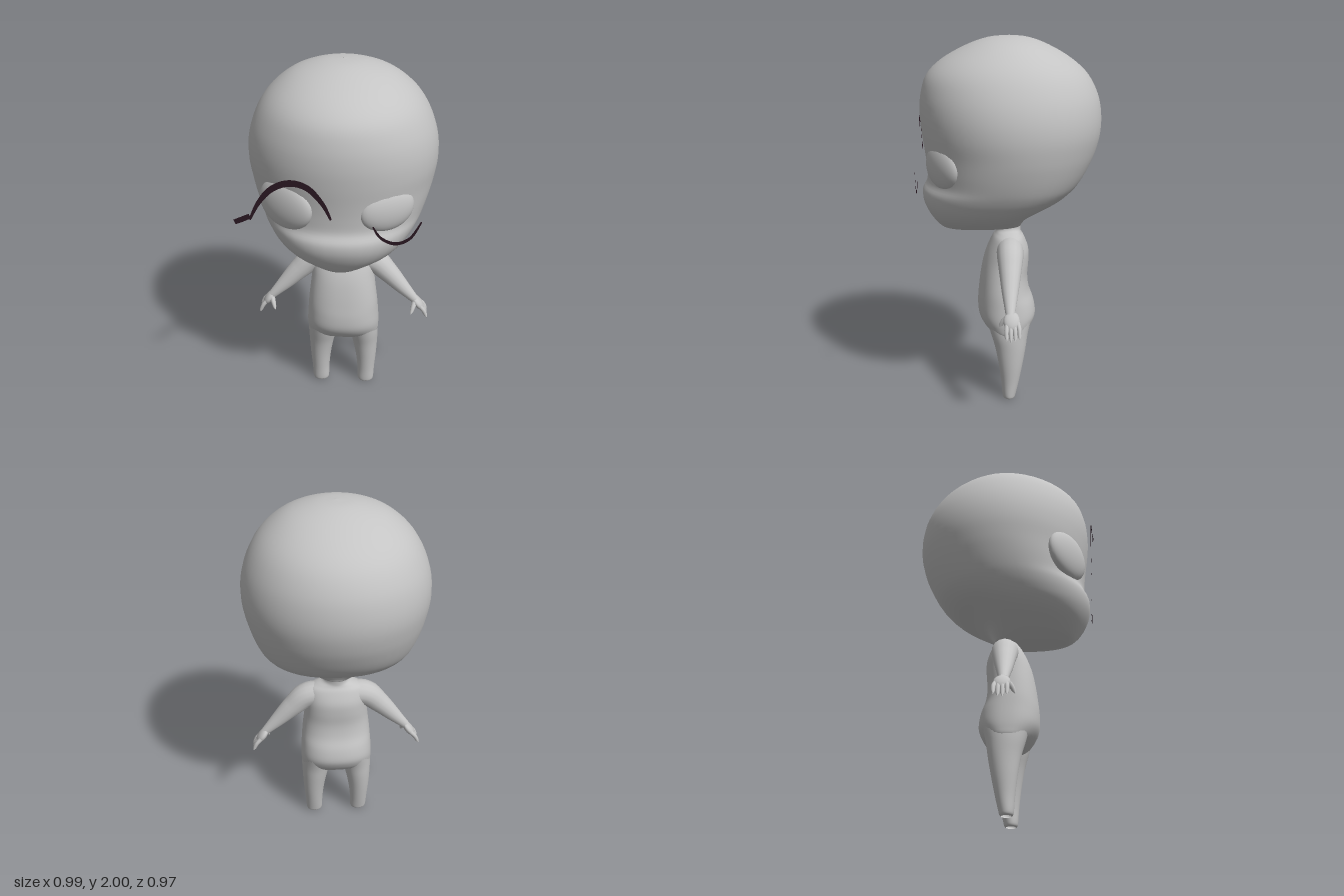
import * as THREE from 'three';

const clay = new THREE.MeshStandardMaterial({ color: 0xc4c4c4, side: THREE.DoubleSide });
clay.name = 'clay grey';
const ink = new THREE.MeshStandardMaterial({ color: 0x2a1822, side: THREE.DoubleSide });
ink.name = 'lash dark';

function add(parent, name, geometry, material = clay) {
  const mesh = new THREE.Mesh(geometry, material);
  mesh.name = name;
  parent.add(mesh);
  return mesh;
}

// Smooth loft of rounded sections, listed from the top down:
// [y, half width, front z, back z, z of the widest point, squareness, centre x]
function loft(rows, steps = 4, sides = 48) {
  const spline = (f) => new THREE.CatmullRomCurve3(rows.map(f), false, 'catmullrom', 0.5);
  const edge = spline((r) => new THREE.Vector3(r[1], r[0], r[2]));
  const rear = spline((r) => new THREE.Vector3(r[4], r[6] ?? 0, r[3]));
  const shape = spline((r) => new THREE.Vector3(r[5] ?? 2, 0, 0));
  const n = (rows.length - 1) * steps;
  const pos = [], index = [];
  for (let i = 0; i <= n; i++) {
    const p = edge.getPoint(i / n), q = rear.getPoint(i / n), e = 2 / shape.getPoint(i / n).x;
    const bend = (v) => Math.sign(v) * Math.abs(v) ** e;
    for (let j = 0; j < sides; j++) {
      const t = (j / sides) * Math.PI * 2, s = bend(Math.sin(t));
      pos.push(q.y + p.x * bend(Math.cos(t)), p.y, q.x + s * (s > 0 ? p.z - q.x : q.x - q.z));
      if (i < n) {
        const k = i * sides + j, m = i * sides + ((j + 1) % sides);
        index.push(k, m, k + sides, m, m + sides, k + sides);
      }
    }
  }
  const g = new THREE.BufferGeometry();
  g.setAttribute('position', new THREE.Float32BufferAttribute(pos, 3));
  g.setIndex(index);
  g.computeVertexNormals();
  return g;
}

// Tube along a path whose radius follows a list of values
function limb(points, radii, segments = 24, sides = 16) {
  const curve = new THREE.CatmullRomCurve3(points.map((p) => new THREE.Vector3(...p)));
  const g = new THREE.TubeGeometry(curve, segments, 1, sides);
  const pos = g.attributes.position, v = new THREE.Vector3();
  for (let i = 0; i < pos.count; i++) {
    const t = Math.floor(i / (sides + 1)) / segments, c = curve.getPointAt(t);
    const f = t * (radii.length - 1), k = Math.min(Math.floor(f), radii.length - 2);
    const r = THREE.MathUtils.lerp(radii[k], radii[k + 1], f - k);
    v.fromBufferAttribute(pos, i).sub(c).multiplyScalar(r).add(c);
    pos.setXYZ(i, v.x, v.y, v.z);
  }
  return g;
}

// Flat tapered stroke in the xy plane
function stroke(points, middle, end) {
  const curve = new THREE.SplineCurve(points.map((p) => new THREE.Vector2(...p)));
  const upper = [], lower = [], n = 32;
  for (let i = 0; i <= n; i++) {
    const t = i / n, p = curve.getPoint(t), d = curve.getTangent(t);
    const w = (end + (middle - end) * Math.sin(t * Math.PI)) / 2;
    upper.push(new THREE.Vector2(p.x - d.y * w, p.y + d.x * w));
    lower.unshift(new THREE.Vector2(p.x + d.y * w, p.y - d.x * w));
  }
  return new THREE.ShapeGeometry(new THREE.Shape([...upper, ...lower]));
}

export function createModel() {
  const model = new THREE.Group();
  model.name = 'figure';

  // Large head with a small mouth ridge, broad jaw and receding nape
  add(model, 'head', loft([
    [2.0, 0.002, 0.002, -0.002, 0],
    [1.99, 0.115, 0.11, -0.1, 0],
    [1.95, 0.24, 0.227, -0.21, 0],
    [1.88, 0.34, 0.355, -0.33, 0],
    [1.8, 0.41, 0.435, -0.415, 0],
    [1.7, 0.46, 0.467, -0.467, 0],
    [1.6, 0.486, 0.474, -0.487, 0],
    [1.5, 0.49, 0.466, -0.485, 0],
    [1.4, 0.475, 0.452, -0.46, 0.0],
    [1.32, 0.455, 0.443, -0.425, 0.01, 2.05],
    [1.25, 0.432, 0.442, -0.385, 0.02, 2.1],
    [1.2, 0.41, 0.466, -0.343, 0.03, 2.15],
    [1.15, 0.38, 0.466, -0.28, 0.05, 2.2],
    [1.1, 0.338, 0.449, -0.185, 0.08, 2.25],
    [1.05, 0.27, 0.42, -0.108, 0.12, 2.3],
    [1.0, 0.165, 0.381, -0.072, 0.15, 2.3],
    [0.978, 0.1, 0.35, -0.062, 0.15, 2.3],
    [0.967, 0.055, 0.3, -0.03, 0.14, 2.2],
    [0.965, 0.002, 0.142, 0.138, 0.14],
  ]));

  // Eyeballs set into the face
  for (const [name, x, y, z, w, h, turn] of [
    ['rightEye', -0.263, 1.367, 0.35, 0.161, 0.134, -0.56],
    ['leftEye', 0.235, 1.355, 0.353, 0.15, 0.118, 0.52],
  ]) {
    const eye = add(model, name, new THREE.SphereGeometry(1, 32, 20));
    eye.position.set(x, y, z);
    eye.scale.set(w, h, 0.055);
    eye.rotation.y = turn;
  }

  // Drawn lashes floating in front of the face
  const lashes = [
    ['rightLash', [[-0.03, 1.355], [-0.07, 1.44], [-0.14, 1.52], [-0.225, 1.543],
      [-0.31, 1.51], [-0.375, 1.435], [-0.42, 1.345]], 0.034, 0.01],
    ['rightLashTip', [[-0.495, 1.33], [-0.46, 1.345], [-0.418, 1.365]], 0.028, 0.026],
    ['leftLash', [[0.17, 1.325], [0.21, 1.265], [0.28, 1.237], [0.35, 1.27], [0.4, 1.36]], 0.018, 0.007],
  ];
  for (const [name, path, middle, end] of lashes) {
    add(model, name, stroke(path, middle, end), ink).position.z = 0.486;
  }

  // Neck, chest, belly and seat in one skin
  add(model, 'torso', loft([
    [1.06, 0.075, 0.06, -0.085, -0.01],
    [1.0, 0.068, 0.065, -0.068, 0],
    [0.962, 0.072, 0.066, -0.063, 0],
    [0.942, 0.115, 0.075, -0.066, 0],
    [0.915, 0.158, 0.093, -0.082, 0, 2.1],
    [0.85, 0.172, 0.123, -0.105, 0.01, 2.2],
    [0.78, 0.175, 0.145, -0.106, 0.02, 2.3],
    [0.7, 0.184, 0.16, -0.1, 0.03, 2.3],
    [0.62, 0.194, 0.17, -0.11, 0.03, 2.3],
    [0.55, 0.2, 0.176, -0.135, 0.02, 2.3],
    [0.48, 0.205, 0.172, -0.145, 0.015, 2.3],
    [0.43, 0.205, 0.15, -0.128, 0.01, 2.3],
    [0.39, 0.198, 0.115, -0.1, 0.01, 2.3],
    [0.362, 0.155, 0.075, -0.065, 0.01, 2.3],
    [0.355, 0.002, 0.012, 0.008, 0.01],
  ]));

  for (const [side, s] of [['left', 1], ['right', -1]]) {
    // Tapered leg, open at the ankle
    add(model, side + 'Leg', loft([
      [0.46, 0.085, 0.13, -0.115, 0.01, 2, 0.113 * s],
      [0.38, 0.083, 0.108, -0.096, 0.008, 2, 0.12 * s],
      [0.3, 0.073, 0.085, -0.084, 0, 2, 0.128 * s],
      [0.2, 0.061, 0.067, -0.066, 0, 2, 0.135 * s],
      [0.1, 0.051, 0.054, -0.046, 0.004, 2, 0.136 * s],
      [0.03, 0.048, 0.048, -0.03, 0.01, 2, 0.135 * s],
      [0.008, 0.044, 0.044, -0.024, 0.01, 2, 0.135 * s],
      [0, 0.035, 0.036, -0.016, 0.01, 2, 0.135 * s],
    ], 4, 32));

    // Arm sloping out from the shoulder
    const arm = new THREE.Group();
    arm.name = side + 'Arm';
    model.add(arm);
    add(arm, 'sleeve', limb(
      [[0.03 * s, 0.88, 0], [0.165 * s, 0.857, 0.005], [0.245 * s, 0.785, 0.01],
        [0.33 * s, 0.692, 0.016], [0.41 * s, 0.605, 0.02]],
      [0.05, 0.066, 0.073, 0.07, 0.063, 0.056, 0.049, 0.041, 0.032, 0.024]));

    // Flat palm, four fingers and a thumb
    const palm = add(arm, 'palm', new THREE.SphereGeometry(1, 20, 14));
    palm.position.set(0.428 * s, 0.582, 0.014);
    palm.scale.set(0.023, 0.052, 0.043);
    palm.rotation.z = 0.65 * s;
    for (let i = 0; i < 4; i++) {
      const z = 0.043 - i * 0.022, drop = [0.008, 0, 0.002, 0.014][i];
      add(arm, 'finger', limb(
        [[0.435 * s, 0.575, z * 0.8 + 0.002], [0.462 * s, 0.54 + drop / 2, z], [0.483 * s, 0.488 + drop, z]],
        [0.013, 0.0125, 0.012, 0.011, 0.01, 0.001], 12, 10));
    }
    add(arm, 'thumb', limb(
      [[0.412 * s, 0.6, 0.03], [0.4 * s, 0.57, 0.058], [0.389 * s, 0.535, 0.076]],
      [0.017, 0.015, 0.014, 0.012, 0.01, 0.001], 12, 10));
  }
  return model;
}
